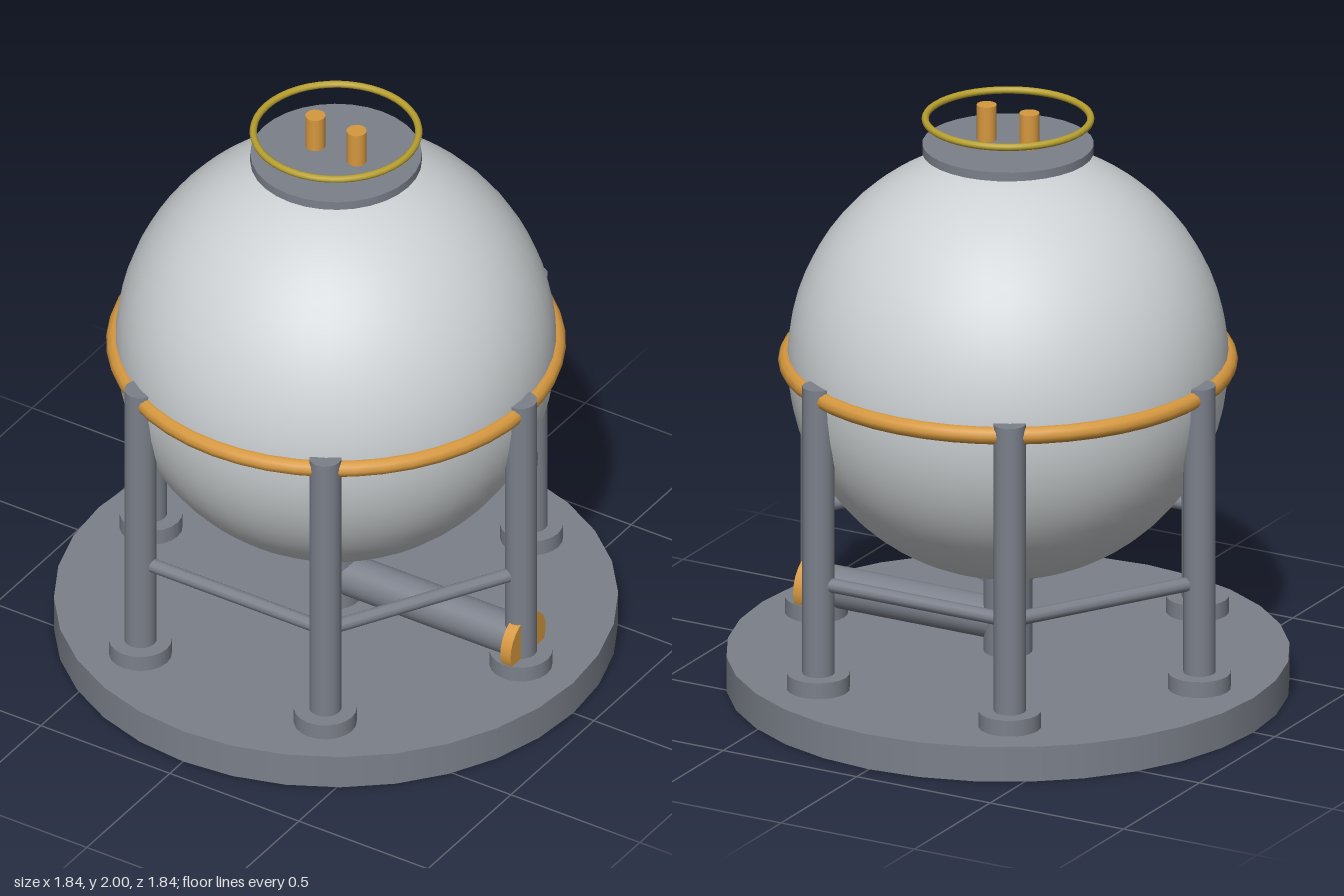
import * as THREE from 'three';

export function createModel() {
  const model = new THREE.Group();
  model.name = 'sphericalStorageTank';

  const paint = (name, color) => {
    const m = new THREE.MeshStandardMaterial({ color });
    m.name = name;
    return m;
  };
  const shellGrey = paint('shellGrey', 0xcdd1d3);
  const steel = paint('steelGrey', 0x7b808a);
  const orange = paint('pipeOrange', 0xd6983f);
  const yellow = paint('railYellow', 0xb8a02e);

  const add = (name, geometry, material, x = 0, y = 0, z = 0) => {
    const mesh = new THREE.Mesh(geometry, material);
    mesh.name = name;
    mesh.position.set(x, y, z);
    model.add(mesh);
    return mesh;
  };
  // Upright cylinder between two heights
  const post = (name, r, y0, y1, material, x = 0, z = 0, sides = 24) =>
    add(name, new THREE.CylinderGeometry(r, r, y1 - y0, sides), material, x, (y0 + y1) / 2, z);
  // Cylinder lying along x
  const pipeX = (name, r, x0, x1, y, material) => {
    const mesh = add(name, new THREE.CylinderGeometry(r, r, x1 - x0, 24), material, (x0 + x1) / 2, y, 0);
    mesh.rotation.z = Math.PI / 2;
  };
  // Flat ring around the vertical axis
  const hoop = (name, R, r, y, material) => {
    const mesh = add(name, new THREE.TorusGeometry(R, r, 10, 48), material, 0, y, 0);
    mesh.rotation.x = Math.PI / 2;
  };

  // Foundation slab and pressure sphere
  post('base', 0.92, 0, 0.12, steel, 0, 0, 32);
  add('tankSphere', new THREE.SphereGeometry(0.72, 48, 32), shellGrey, 0, 1.13, 0);
  hoop('equatorPipe', 0.72, 0.03, 1.13, orange);

  // Six legs with feet, joined by straight braces
  const legRadius = 0.717;
  for (let i = 0; i < 6; i++) {
    const a = (i * Math.PI) / 3;
    const x = legRadius * Math.cos(a), z = legRadius * Math.sin(a);
    post('leg', 0.053, 0.12, 1.17, steel, x, z, 16);
    post('foot', 0.103, 0.12, 0.175, steel, x, z, 20);

    const mid = a + Math.PI / 6, d = legRadius * Math.cos(Math.PI / 6);
    const brace = add('brace', new THREE.CylinderGeometry(0.024, 0.024, legRadius, 10), steel,
      d * Math.cos(mid), 0.487, d * Math.sin(mid));
    brace.rotation.set(0, Math.PI / 2 - mid, Math.PI / 2);
  }

  // Bottom outlet and its flanged side pipe
  post('outletColumn', 0.08, 0.12, 0.46, steel);
  pipeX('outletPipe', 0.07, 0, 0.71, 0.223, steel);
  pipeX('outletFlange', 0.106, 0.705, 0.745, 0.215, orange);

  // Top platform, guard rail and vents
  post('topPlatform', 0.28, 1.85, 1.88, steel, 0, 0, 32);
  hoop('guardRail', 0.27, 0.012, 1.965, yellow);
  for (const side of [-1, 1]) post('vent', 0.033, 1.86, 2, orange, side * 0.08, 0, 16);

  return model;
}
